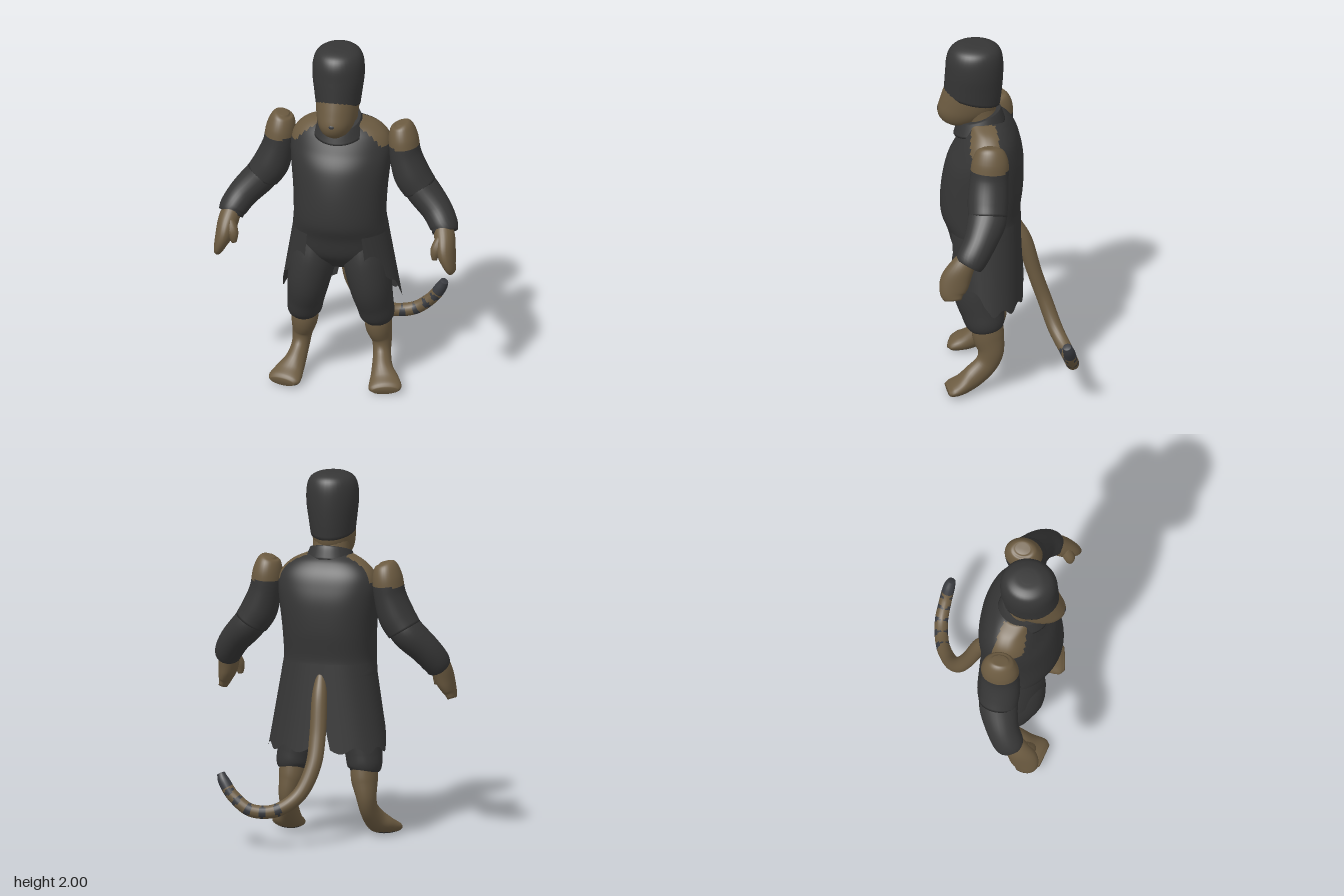
import * as THREE from 'three';

const flat = (color, name) => Object.assign(new THREE.MeshStandardMaterial({ color, side: THREE.DoubleSide }), { name });

export function createModel() {
  const group = new THREE.Group();
  const cloth = flat(0x363636, 'charcoal cloth');
  const fur = flat(0x6c5b41, 'brown fur');
  const slate = flat(0x393b40, 'slate markings');

  // Smooth skin through sections [x, y, z, radius along u, radius along v, tilt].
  // With ref the rings follow the path; without it they stay level (plus tilt).
  // paint(point, t, angle) picks an index into mats for each face.
  function loft(name, secs, mats, { ref, paint, around = 28, steps = 5, backPower = 1 } = {}) {
    const path = new THREE.CatmullRomCurve3(secs.map(s => new THREE.Vector3(s[0], s[1], s[2])), false, 'catmullrom', 0.5);
    const size = new THREE.CatmullRomCurve3(secs.map(s => new THREE.Vector3(s[3], s[4], s[5] || 0)), false, 'catmullrom', 0.5);
    const rows = (secs.length - 1) * steps, pos = [], ts = [];
    const ring = (t, k) => {
      const c = path.getPoint(t), r = size.getPoint(t);
      const axis = ref ? path.getTangent(t) : new THREE.Vector3(0, 1, 0);
      const u = (ref || new THREE.Vector3(1, 0, 0)).clone();
      u.addScaledVector(axis, -u.dot(axis)).normalize();
      const v = new THREE.Vector3().crossVectors(axis, u);
      for (let j = 0; j < around; j++) {
        const a = j / around * Math.PI * 2, cs = Math.cos(a), sn = Math.sin(a);
        const pw = sn > 0 ? backPower : 1;
        const ca = Math.sign(cs) * Math.abs(cs) ** pw, sa = Math.sign(sn) * Math.abs(sn) ** pw;
        const p = c.clone().addScaledVector(u, ca * Math.max(r.x, 0.001) * k).addScaledVector(v, sa * Math.max(r.y, 0.001) * k);
        if (!ref) p.y += r.z * (p.z - c.z);
        pos.push(p.x, p.y, p.z);
      }
      ts.push(t);
    };
    ring(0, 0);
    for (let i = 0; i <= rows; i++) ring(i / rows, 1);
    ring(1, 0);
    const list = Array.isArray(mats) ? mats : [mats], faces = list.map(() => []);
    for (let i = 0; i < rows + 2; i++) for (let j = 0; j < around; j++) {
      const a = i * around + j, b = i * around + (j + 1) % around, c = a + around, d = b + around;
      const mid = k => (pos[a * 3 + k] + pos[b * 3 + k] + pos[c * 3 + k] + pos[d * 3 + k]) / 4;
      const m = paint ? paint(new THREE.Vector3(mid(0), mid(1), mid(2)), ts[i], j / around * Math.PI * 2) : 0;
      faces[m].push(a, b, c, b, d, c);
    }
    const geo = new THREE.BufferGeometry();
    geo.setAttribute('position', new THREE.Float32BufferAttribute(pos, 3));
    geo.setIndex(faces.flat());
    let start = 0;
    faces.forEach((f, m) => { if (f.length) geo.addGroup(start, f.length, m); start += f.length; });
    geo.computeVertexNormals();
    const mesh = new THREE.Mesh(geo, list);
    mesh.name = name;
    group.add(mesh);
    return mesh;
  }

  // Coat body with bare shoulder yoke
  loft('coatBody', [
    [0, 0.69, 0.1, 0.13, 0.1], [0, 0.78, 0.12, 0.25, 0.175], [0, 0.9, 0.135, 0.26, 0.2],
    [0, 1.0, 0.155, 0.25, 0.215], [0, 1.15, 0.145, 0.255, 0.222], [0, 1.3, 0.13, 0.27, 0.208],
    [0, 1.4, 0.115, 0.275, 0.175], [0, 1.47, 0.11, 0.255, 0.145], [0, 1.525, 0.115, 0.2, 0.11], [0, 1.56, 0.14, 0.12, 0.09],
  ], [cloth, fur], {
    around: 72, steps: 7, backPower: 0.8,
    paint: (p) => {
      const x = Math.abs(p.x);
      return p.y > 1.42 && x > 0.11 && p.z > 0.07 - 0.25 * (x - 0.11) && p.z < 0.2 ? 1 : 0;
    },
  });

  // Flared coat skirt, open at the front with a ragged hem and a tail slit
  {
    const nA = 80, nT = 10, pos = [], idx = [];
    for (let i = 0; i <= nT; i++) for (let j = 0; j <= nA; j++) {
      const a = 0.95 - j / nA * (Math.PI + 1.9), s = Math.sin(a), t = i / nT;
      const slit = Math.abs(Math.cos(a)) < 0.12 && s < 0 ? 0.12 : 0;
      const hem = 0.51 + 0.27 * Math.max(0, (s + 0.15) / 0.95) + 0.018 * Math.sin(a * 11) + slit;
      const y = 0.98 + (hem - 0.98) * t, f = (0.98 - y) / 0.48;
      const pw = s < 0 ? 0.8 : 1, c = Math.cos(a);
      pos.push(Math.sign(c) * Math.abs(c) ** pw * (0.248 + 0.082 * f), y,
        0.142 - 0.025 * f + Math.sign(s) * Math.abs(s) ** pw * (0.205 - 0.007 * f));
    }
    for (let i = 0; i < nT; i++) for (let j = 0; j < nA; j++) {
      const a = i * (nA + 1) + j, b = a + 1, c = a + nA + 1, d = c + 1;
      idx.push(a, b, c, b, d, c);
    }
    // Angles run clockwise from above, so flip to face outward
    for (let k = 0; k < idx.length; k += 3) [idx[k + 1], idx[k + 2]] = [idx[k + 2], idx[k + 1]];
    const geo = new THREE.BufferGeometry();
    geo.setAttribute('position', new THREE.Float32BufferAttribute(pos, 3));
    geo.setIndex(idx);
    geo.computeVertexNormals();
    const skirt = new THREE.Mesh(geo, cloth);
    skirt.name = 'coatSkirt';
    group.add(skirt);
  }

  // Head: neck, muzzle, hood, collar, nose
  loft('neck', [[0, 1.46, 0.13, 0.11, 0.1], [0, 1.56, 0.15, 0.1, 0.09], [0, 1.68, 0.18, 0.1, 0.1]], fur);
  loft('muzzle', [
    [0, 1.515, 0.275, 0.04, 0.05], [0, 1.54, 0.268, 0.075, 0.1, 0.05], [0, 1.585, 0.245, 0.1, 0.143, 0.08],
    [0, 1.64, 0.22, 0.113, 0.152, 0.18], [0, 1.72, 0.2, 0.12, 0.145, 0.23],
  ], fur);
  loft('hood', [
    [0, 1.675, 0.2, 0.12, 0.152, 0.23], [0, 1.75, 0.193, 0.13, 0.156, 0.12], [0, 1.84, 0.187, 0.141, 0.157, 0.03],
    [0, 1.92, 0.185, 0.138, 0.152], [0, 1.97, 0.182, 0.118, 0.13], [0, 1.995, 0.18, 0.075, 0.085], [0, 2.0, 0.18, 0.03, 0.03],
  ], cloth, { around: 36 });
  loft('collar', [
    [0, 1.5, 0.16, 0.145, 0.14, -0.3], [0, 1.55, 0.16, 0.125, 0.125, -0.33], [0, 1.575, 0.16, 0.115, 0.115, -0.35],
  ], cloth);
  const nose = new THREE.Mesh(new THREE.SphereGeometry(0.017, 12, 8), slate);
  nose.name = 'nose';
  nose.scale.set(1, 0.8, 0.5);
  nose.position.set(0, 1.605, 0.381);
  group.add(nose);

  // Limbs, mirrored by side
  const alongZ = new THREE.Vector3(0, 0, 1), alongX = new THREE.Vector3(1, 0, 0);
  for (const [side, s] of [['left', 1], ['right', -1]]) {
    const m = secs => secs.map(([x, ...rest]) => [x * s, ...rest]);
    loft(side + 'UpperArm', m([
      [0.325, 1.535, 0.09, 0.04, 0.03], [0.33, 1.515, 0.09, 0.075, 0.06], [0.337, 1.45, 0.09, 0.1, 0.08],
      [0.35, 1.35, 0.095, 0.105, 0.086], [0.385, 1.24, 0.1, 0.11, 0.098], [0.43, 1.165, 0.1, 0.105, 0.095],
    ]), [cloth, fur], { ref: alongZ, steps: 8, around: 32, paint: p => (p.y > 1.41 ? 1 : 0) });
    loft(side + 'Sleeve', m([
      [0.4, 1.21, 0.1, 0.1, 0.085], [0.45, 1.145, 0.105, 0.105, 0.09], [0.53, 1.06, 0.14, 0.09, 0.083],
      [0.578, 0.99, 0.18, 0.085, 0.077], [0.59, 0.955, 0.2, 0.078, 0.068],
    ]), cloth, { ref: alongZ });
    loft(side + 'Hand', m([
      [0.575, 1.01, 0.19, 0.05, 0.05], [0.595, 0.94, 0.235, 0.068, 0.056], [0.61, 0.87, 0.27, 0.08, 0.05],
      [0.63, 0.81, 0.285, 0.07, 0.035], [0.645, 0.765, 0.28, 0.045, 0.022],
    ]), fur, { ref: alongZ });
    loft(side + 'Thumb', m([
      [0.585, 0.95, 0.27, 0.03, 0.03], [0.56, 0.89, 0.3, 0.032, 0.03], [0.552, 0.835, 0.305, 0.018, 0.015],
    ]), fur, { ref: alongZ, around: 14 });
    loft(side + 'TrouserLeg', m([
      [0.13, 0.86, 0.13, 0.11, 0.15], [0.145, 0.73, 0.145, 0.125, 0.16], [0.17, 0.59, 0.155, 0.115, 0.145],
      [0.19, 0.47, 0.135, 0.1, 0.12], [0.2, 0.4, 0.12, 0.093, 0.105], [0.2, 0.37, 0.115, 0.075, 0.085],
    ]), cloth, { ref: alongX });
    loft(side + 'ShinAndFoot', m([
      [0.2, 0.43, 0.11, 0.07, 0.08], [0.203, 0.33, 0.105, 0.072, 0.087], [0.218, 0.24, 0.09, 0.055, 0.07],
      [0.225, 0.165, 0.115, 0.048, 0.062], [0.24, 0.1, 0.18, 0.058, 0.062], [0.262, 0.06, 0.24, 0.08, 0.05],
      [0.278, 0.04, 0.295, 0.09, 0.037], [0.285, 0.033, 0.325, 0.07, 0.022],
    ]), [fur, cloth], { ref: alongX, paint: p => (p.y < 0.02 && p.z > 0.2 ? 1 : 0) });
  }

  // Banded tail sweeping to the left, with a dark tip
  loft('tail', [
    [0, 0.92, -0.04, 0.025, 0.025], [-0.005, 0.8, -0.085, 0.042, 0.042], [-0.01, 0.6, -0.14, 0.04, 0.045],
    [0, 0.44, -0.195, 0.04, 0.043], [0.06, 0.295, -0.255, 0.04, 0.04], [0.17, 0.215, -0.32, 0.037, 0.037],
    [0.3, 0.215, -0.353, 0.036, 0.036], [0.4, 0.285, -0.35, 0.034, 0.034], [0.455, 0.36, -0.34, 0.032, 0.032],
    [0.478, 0.405, -0.33, 0.022, 0.022],
  ], [fur, slate], {
    ref: alongZ, around: 20, steps: 12,
    paint: (p, t, a) => (t > 0.84 || (t > 0.52 && Math.sin(t * 95) + 0.45 * Math.cos(a * 2) > 0.55) ? 1 : 0),
  });

  return group;
}
